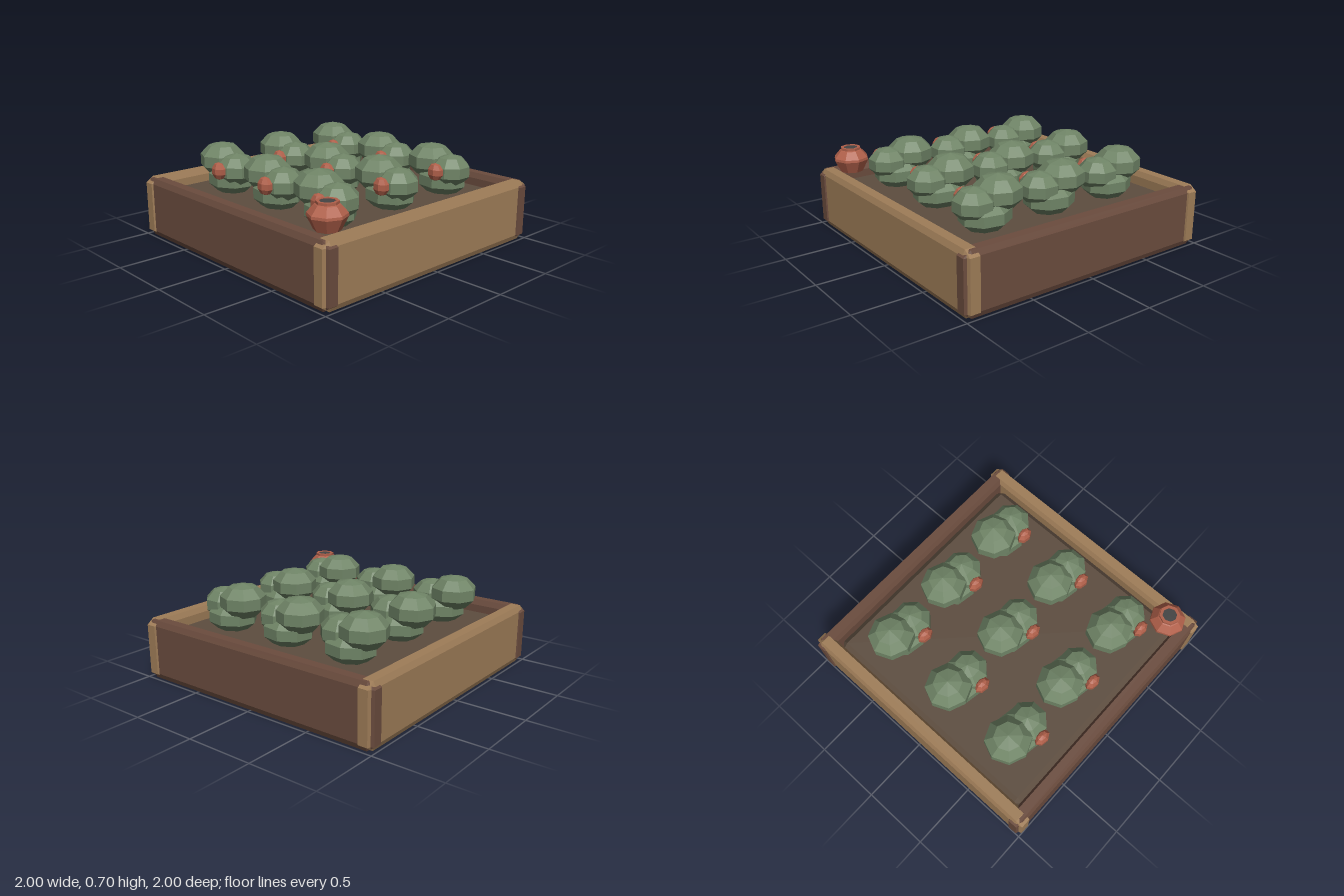
import * as THREE from 'three';
import { ConvexGeometry } from 'three/addons/geometries/ConvexGeometry.js';

const mat = (color, side = THREE.FrontSide) =>
  new THREE.MeshStandardMaterial({ color, flatShading: true, side });

const tan = mat(0x9f7d58);
const brown = mat(0x6b4c3e);
const soilMat = mat(0x5d4d3f);
const leafMat = mat(0x6f8466);
const clay = mat(0xb0604a, THREE.DoubleSide);
const dark = mat(0x444444);

function add(parent, name, geometry, material, x = 0, y = 0, z = 0) {
  const mesh = new THREE.Mesh(geometry, material);
  mesh.name = name;
  mesh.position.set(x, y, z);
  parent.add(mesh);
  return mesh;
}

// Box with every edge and corner cut; each axis has its own bevel
function chamferedBox(size, bevel) {
  const points = [];
  for (const sx of [-1, 1]) for (const sy of [-1, 1]) for (const sz of [-1, 1]) {
    const s = [sx, sy, sz];
    for (let full = 0; full < 3; full++) {
      points.push(new THREE.Vector3(...s.map((v, i) =>
        v * (size[i] / 2 - (i === full ? 0 : bevel[i])))));
    }
  }
  return new ConvexGeometry(points);
}

// Faceted ball squashed to the given radii
function blob(rx, ry, rz, sides, rows, turn = 0) {
  return new THREE.SphereGeometry(1, sides, rows).rotateY(turn).scale(rx, ry, rz);
}

// One shrub: three leafy lobes and a fruit at the front
function makePlant() {
  const plant = new THREE.Group();
  plant.name = 'plant';
  add(plant, 'mainLobe', blob(0.175, 0.13, 0.17, 8, 5), leafMat, -0.085, 0.575, 0);
  add(plant, 'sideLobe', blob(0.15, 0.12, 0.15, 8, 5, 0.39), leafMat, 0.1, 0.53, 0.005);
  add(plant, 'lowerLobe', blob(0.195, 0.12, 0.17, 8, 5, 0.2), leafMat, 0.02, 0.45, -0.005);
  add(plant, 'fruit', blob(0.065, 0.065, 0.045, 7, 5), clay, 0.086, 0.54, 0.155);
  return plant;
}

// Eight-sided pot with a narrow neck and dark opening
function makePot() {
  const pot = new THREE.Group();
  pot.name = 'pot';
  const profile = [
    [0, 0.44], [0.085, 0.44], [0.13, 0.53], [0.128, 0.548], [0.082, 0.6],
    [0.074, 0.605], [0.074, 0.622], [0.052, 0.622], [0.052, 0.6],
  ].map(([r, y]) => new THREE.Vector2(r, y));
  add(pot, 'potBody', new THREE.LatheGeometry(profile, 8), clay);
  add(pot, 'potOpening', new THREE.CylinderGeometry(0.055, 0.055, 0.008, 8), dark, 0, 0.614, 0);
  return pot;
}

export function createModel() {
  const model = new THREE.Group();
  model.name = 'planter';

  // Crossing planks, their bevelled ends poking through at the corners
  const side = chamferedBox([0.108, 0.445, 2], [0.018, 0.04, 0.055]);
  const end = chamferedBox([2, 0.442, 0.105], [0.055, 0.04, 0.018]);
  for (const s of [-1, 1]) {
    add(model, s > 0 ? 'leftPlank' : 'rightPlank', side, tan, s * 0.935, 0.2225, 0);
    add(model, s > 0 ? 'frontPlank' : 'backPlank', end, brown, 0, 0.221, s * 0.935);
  }

  // Soil slab
  add(model, 'soil', chamferedBox([1.77, 0.32, 1.77], [0.045, 0.045, 0.045]), soilMat, 0, 0.2, 0);

  // Three rows of three plants
  for (let row = -1; row <= 1; row++) {
    for (let col = -1; col <= 1; col++) {
      const plant = makePlant();
      plant.position.set(col * 0.533, 0, row * 0.555);
      model.add(plant);
    }
  }

  const pot = makePot();
  pot.position.set(0.81, 0, 0.81);
  model.add(pot);

  return model;
}
